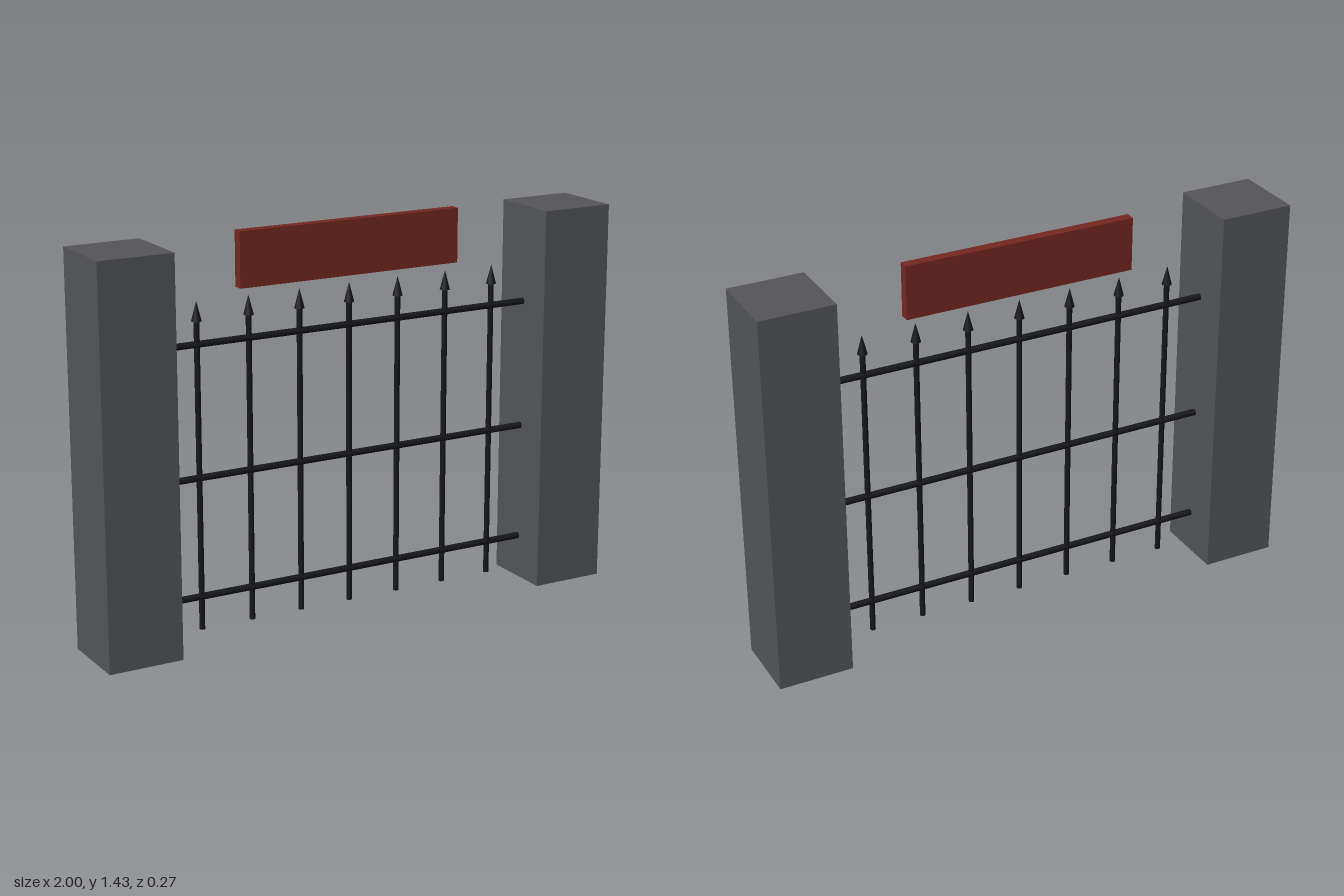
import * as THREE from 'three';

export function createModel() {
  const gate = new THREE.Group();
  gate.name = 'gate';

  const stone = new THREE.MeshStandardMaterial({ color: 0x55565a });
  const iron = new THREE.MeshStandardMaterial({ color: 0x16171a });
  const wood = new THREE.MeshStandardMaterial({ color: 0x752820 });

  const add = (name, geometry, material, x, y, z = 0) => {
    const mesh = new THREE.Mesh(geometry, material);
    mesh.name = name;
    mesh.position.set(x, y, z);
    gate.add(mesh);
    return mesh;
  };

  // Square pillars
  const pillarW = 0.273, pillarH = 1.412;
  const pillarGeo = new THREE.BoxGeometry(pillarW, pillarH, pillarW);
  for (const side of [-1, 1]) {
    add(side > 0 ? 'leftPillar' : 'rightPillar', pillarGeo, stone, side * (1 - pillarW / 2), pillarH / 2);
  }

  // Horizontal rails spanning between the pillars
  const railGeo = new THREE.CylinderGeometry(0.012, 0.012, 1.456, 12).rotateZ(Math.PI / 2);
  [0.16, 0.59, 1.06].forEach((y, i) => add(`rail${i + 1}`, railGeo, iron, 0, y));

  // Vertical bars with pointed tips
  const barBottom = 0.04, barTop = 1.14, tipH = 0.07;
  const barGeo = new THREE.CylinderGeometry(0.01, 0.01, barTop - barBottom, 12);
  const tipGeo = new THREE.ConeGeometry(0.018, tipH, 12);
  for (let i = 0; i < 7; i++) {
    const x = (i - 3) * 0.196;
    add(`bar${i + 1}`, barGeo, iron, x, (barTop + barBottom) / 2);
    add(`barTip${i + 1}`, tipGeo, iron, x, barTop + tipH / 2);
  }

  // Blank sign board above the bars
  add('signBoard', new THREE.BoxGeometry(0.862, 0.196, 0.037), wood, 0, 1.335);

  return gate;
}
